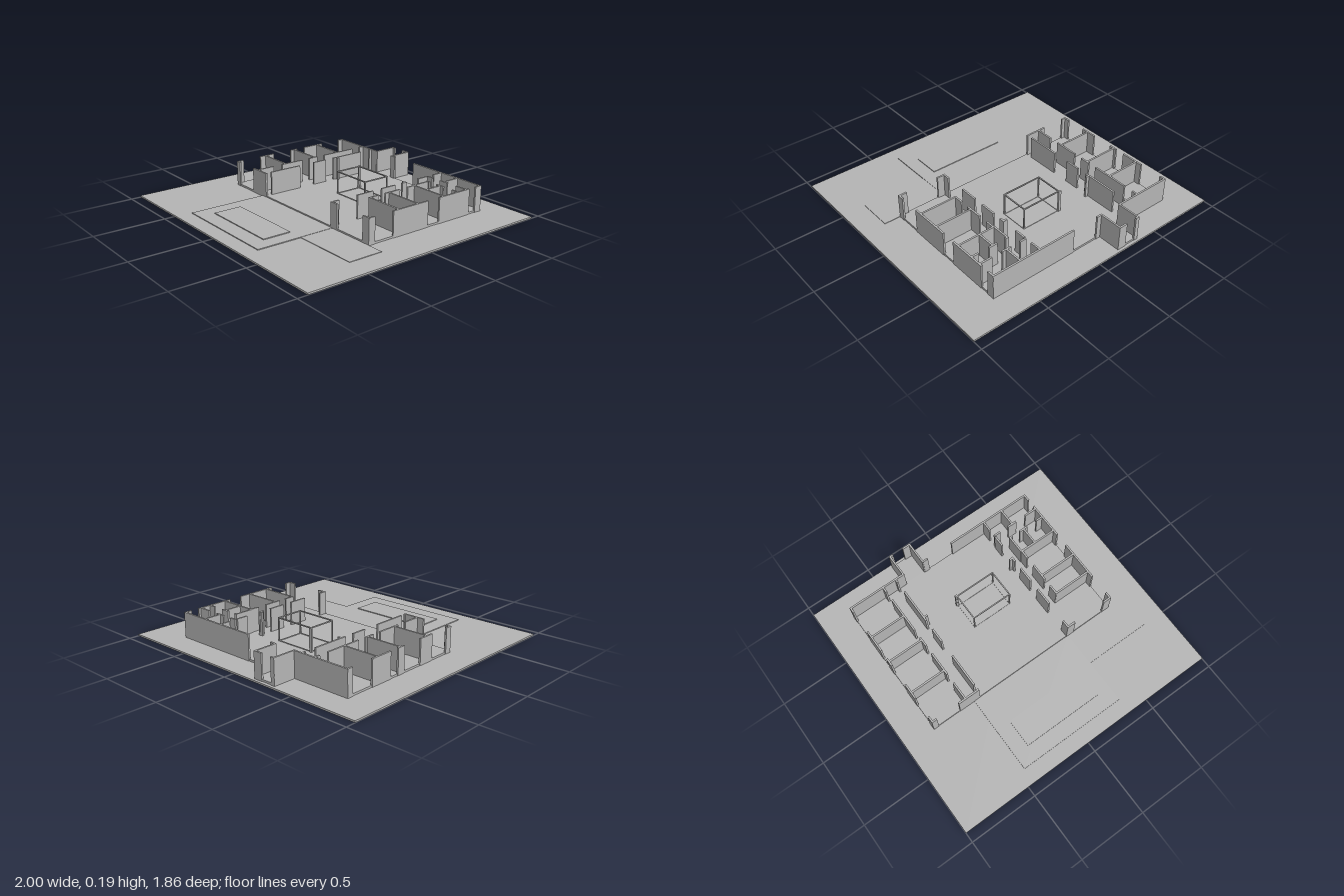
import * as THREE from 'three';

const T = 0.013;       // wall thickness
const GROUND = 0.012;  // top of the base plate
const FLOOR = 0.026;   // top of the house floor
const TOP = 0.193;     // top of the walls

export function createModel() {
  const model = new THREE.Group();
  const grey = new THREE.MeshStandardMaterial({ color: 0xb4b4b4 });
  grey.name = 'plaster grey';

  // Box given by its limits on each axis
  function block(parent, name, x0, x1, y0, y1, z0, z1) {
    const mesh = new THREE.Mesh(new THREE.BoxGeometry(x1 - x0, y1 - y0, z1 - z0), grey);
    mesh.position.set((x0 + x1) / 2, (y0 + y1) / 2, (z0 + z1) / 2);
    mesh.name = name;
    parent.add(mesh);
  }
  function group(name) {
    const g = new THREE.Group();
    g.name = name;
    model.add(g);
    return g;
  }
  // Wall pieces along z at a given x, and along x at a given z
  const wallsZ = (g, name, x, runs) => runs.forEach(([a, b]) =>
    block(g, name, x - T / 2, x + T / 2, GROUND, TOP, a, b));
  const wallsX = (g, name, z, runs) => runs.forEach(([a, b]) =>
    block(g, name, a, b, GROUND, TOP, z - T / 2, z + T / 2));

  // Site: base plate, terraces and pool
  block(model, 'basePlate', -1, 1, 0, GROUND, -0.93, 0.93);
  block(model, 'patio', -0.45, 0.35, GROUND, 0.018, 0.25, 0.82);
  block(model, 'sideTerrace', 0.35, 0.83, GROUND, 0.016, 0.25, 0.5);
  block(model, 'pool', -0.34, 0.247, 0.018, 0.024, 0.507, 0.71);

  // House floor and rear porch floor
  block(model, 'houseFloor', -0.777, 0.707, GROUND, FLOOR, -0.742, 0.248);
  block(model, 'porchFloor', -0.347, -0.178, GROUND, FLOOR, -0.907, -0.742);

  // Outer walls with full-height openings
  const outer = group('outerWalls');
  wallsZ(outer, 'rightOuterWall', -0.774,
    [[-0.745, -0.7], [-0.53, -0.36], [-0.29, -0.23], [-0.07, 0.05], [0.2, 0.25]]);
  wallsZ(outer, 'leftOuterWall', 0.704,
    [[-0.745, -0.69], [-0.63, -0.35], [-0.25, 0.05], [0.2, 0.25]]);
  wallsX(outer, 'backWall', -0.739, [[-0.78, -0.345], [-0.18, -0.14], [0.06, 0.71]]);
  wallsX(outer, 'frontWall', 0.244,
    [[-0.78, -0.74], [-0.565, -0.405], [0.335, 0.4], [0.648, 0.71]]);
  wallsZ(outer, 'porchSideWall', -0.344, [[-0.91, -0.735]]);
  wallsZ(outer, 'porchSideWall', -0.181, [[-0.91, -0.735]]);
  wallsX(outer, 'porchBackWall', -0.904, [[-0.35, -0.32], [-0.24, -0.175]]);

  // Rooms on the model's right: cross walls and two corridor walls
  const right = group('rightRooms');
  [-0.48, -0.265, 0].forEach(z => wallsX(right, 'roomWall', z, [[-0.775, -0.51]]));
  wallsZ(right, 'corridorWall', -0.511,
    [[-0.745, -0.695], [-0.625, -0.35], [-0.285, -0.21], [-0.145, 0.035], [0.11, 0.25]]);
  wallsZ(right, 'hallWall', -0.409,
    [[-0.74, -0.71], [-0.625, -0.36], [-0.285, -0.175], [-0.05, 0.2], [0.235, 0.25]]);
  wallsX(right, 'hallStub', -0.39, [[-0.41, -0.38]]);

  // Rooms on the model's left
  const left = group('leftRooms');
  wallsZ(left, 'hallWall', 0.341,
    [[-0.74, -0.66], [-0.595, -0.51], [-0.4, -0.36], [-0.295, -0.175], [-0.1, 0.035], [0.19, 0.25]]);
  wallsX(left, 'hallStub', -0.39, [[0.315, 0.34]]);
  [-0.395, -0.165, 0].forEach(z => wallsX(left, 'roomWall', z, [[0.425, 0.705]]));
  wallsZ(left, 'corridorWall', 0.427, [[-0.395, -0.33], [-0.26, -0.13], [-0.07, 0.005]]);
  wallsZ(left, 'bathWall', 0.422, [[-0.535, -0.395]]);
  wallsZ(left, 'bathWall', 0.539, [[-0.53, -0.395]]);
  wallsX(left, 'bathWall', -0.528, [[0.42, 0.44], [0.505, 0.57], [0.65, 0.705]]);
  wallsX(left, 'closetWall', -0.607, [[0.34, 0.39], [0.46, 0.53], [0.61, 0.705]]);
  wallsZ(left, 'closetWall', 0.497, [[-0.74, -0.605]]);

  // Open courtyard frame: corner posts, top rails and floor sills
  const court = group('courtyardFrame');
  const [x0, x1, z0, z1, p] = [-0.14, 0.167, -0.388, -0.18, 0.008];
  for (const x of [x0, x1 - p]) for (const z of [z0, z1 - p])
    block(court, 'post', x, x + p, FLOOR, TOP, z, z + p);
  for (const [name, a, b] of [['topRail', TOP - p, TOP], ['sill', FLOOR, FLOOR + 0.004]]) {
    for (const x of [x0, x1 - p]) block(court, name, x, x + p, a, b, z0 + p, z1 - p);
    for (const z of [z0, z1 - p]) block(court, name, x0 + p, x1 - p, a, b, z, z + p);
  }
  wallsX(court, 'courtStub', -0.389, [[-0.15, -0.13]]);

  return model;
}
